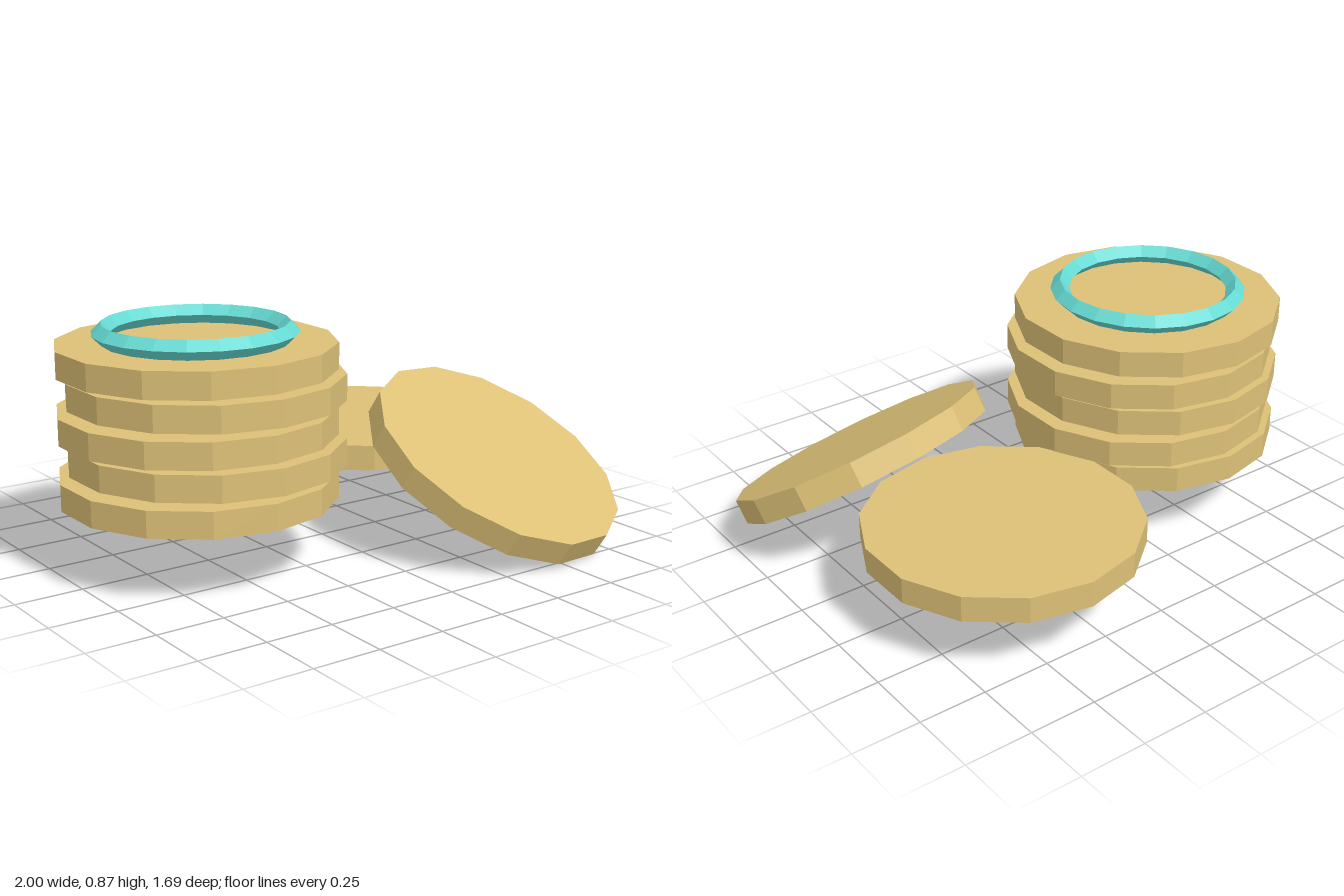
import * as THREE from 'three';

export function createModel() {
  const model = new THREE.Group();
  model.name = 'coinPile';

  const gold = new THREE.MeshStandardMaterial({ color: 0xdcc077, flatShading: true });
  gold.name = 'gold';
  const turquoise = new THREE.MeshStandardMaterial({ color: 0x66dad3, flatShading: true });
  turquoise.name = 'turquoise';

  const radius = 0.495, thickness = 0.095, sides = 14;
  const coinGeometry = new THREE.CylinderGeometry(radius, radius, thickness, sides);

  function addCoin(name, x, y, z) {
    const coin = new THREE.Mesh(coinGeometry, gold);
    coin.name = name;
    coin.position.set(x, y, z);
    model.add(coin);
    return coin;
  }

  // Stack of five coins, alternately shifted sideways
  const stackZ = -0.025, baseY = 0.297, step = 0.1157;
  for (let i = 0; i < 5; i++) {
    addCoin('stackCoin' + (i + 1), i % 2 ? -0.483 : -0.518, baseY + i * step, stackZ);
  }

  // Diamond-section ring on top of the stack
  const ring = new THREE.Mesh(new THREE.TorusGeometry(0.327, 0.035, 4, 20), turquoise);
  ring.name = 'topRing';
  ring.rotation.x = Math.PI / 2;
  ring.position.set(-0.518, 0.842, stackZ);
  model.add(ring);

  // Flat coin behind and tilted coin in front
  addCoin('flatCoin', 0.39, baseY, -0.355);
  const tilted = addCoin('tiltedCoin', 0.503, 0.302, 0.387);
  tilted.rotation.set(0.5, 0, -0.195, 'ZYX');

  return model;
}
